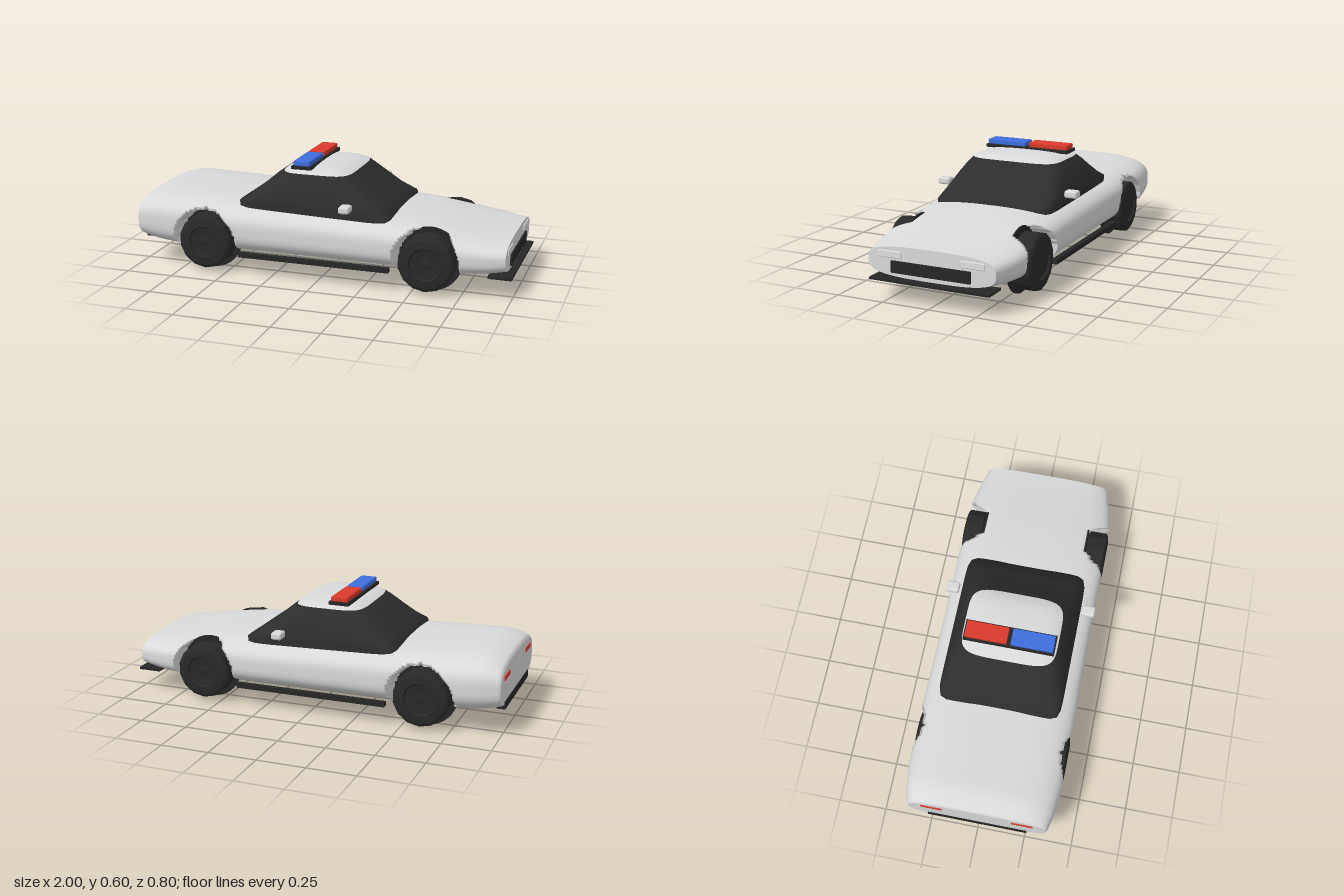
import * as THREE from 'three';
import { RoundedBoxGeometry } from 'three/addons/geometries/RoundedBoxGeometry.js';

const mat = (name, color, side = THREE.FrontSide) =>
  Object.assign(new THREE.MeshStandardMaterial({ color, side }), { name });

// Skin a list of closed rings (each an array of [x, y, z]) into one smooth surface
function loft(rings) {
  const n = rings[0].length, index = [];
  for (let i = 0; i < rings.length - 1; i++) {
    for (let j = 0; j < n; j++) {
      const k = (j + 1) % n;
      const a = i * n + j, b = a + n, c = i * n + k, d = c + n;
      index.push(a, b, c, b, d, c);
    }
  }
  const g = new THREE.BufferGeometry();
  g.setAttribute('position', new THREE.Float32BufferAttribute(rings.flat(2), 3));
  g.setIndex(index);
  g.computeVertexNormals();
  return g;
}

// Unit superellipse sampled evenly by direction; higher power is squarer
function superellipse(count, power) {
  return Array.from({ length: count }, (_, j) => {
    const t = (j / count) * Math.PI * 2, c = Math.cos(t), s = Math.sin(t);
    const r = (Math.abs(c) ** power + Math.abs(s) ** power) ** (-1 / power);
    return [c * r, s * r];
  });
}

const WHEELS_X = [0.58, -0.605], WHEEL_Y = 0.168, ARCH_R = 0.167, ARCH_Z = 0.277;

// Body stations along the length: x, bottom, top, half width
const STATIONS = [
  [-1, 0.135, 0.355, 0.358], [-0.98, 0.125, 0.376, 0.368], [-0.9, 0.107, 0.398, 0.385],
  [-0.78, 0.1, 0.396, 0.398], [-0.6, 0.1, 0.39, 0.4], [-0.4, 0.1, 0.382, 0.4],
  [-0.2, 0.1, 0.376, 0.397], [0, 0.1, 0.37, 0.395], [0.2, 0.1, 0.364, 0.395],
  [0.4, 0.1, 0.357, 0.396], [0.6, 0.1, 0.335, 0.4], [0.75, 0.1, 0.311, 0.391],
  [0.88, 0.11, 0.291, 0.365], [0.97, 0.125, 0.28, 0.34],
];

function bodyRings() {
  const spline = (k) => new THREE.SplineCurve(STATIONS.map((s) => new THREE.Vector2(s[0], s[k])));
  const [bottom, top, width] = [1, 2, 3].map(spline);
  const section = superellipse(96, 3.2), steps = (STATIONS.length - 1) * 18;
  return Array.from({ length: steps + 1 }, (_, i) => {
    const b = bottom.getPoint(i / steps), t = top.getPoint(i / steps).y;
    const w = width.getPoint(i / steps).y, x = b.x;
    return section.map(([u, v]) => {
      const y = (b.y + t) / 2 + (v * (t - b.y)) / 2;
      let z = u * w;
      // press the wheel arches into the sides
      const inArch = WHEELS_X.some((wx) => Math.hypot(x - wx, y - WHEEL_Y) < ARCH_R);
      if (inArch) z = THREE.MathUtils.clamp(z, -ARCH_Z, ARCH_Z);
      return [x, y, z];
    });
  });
}

// Cabin ring: y, rear x, front x, half width, squareness; tilted to follow the body
function cabinRing([y, x0, x1, w, power], tilt) {
  return superellipse(80, power).map(([u, v]) => {
    const x = (x0 + x1) / 2 + (u * (x1 - x0)) / 2;
    return [x, y - tilt * x, v * w];
  });
}

export function createModel() {
  const car = new THREE.Group();
  car.name = 'patrolCar';
  const paint = mat('white paint', 0xd8d9da);
  const glass = mat('dark glass', 0x2d2d2d);
  const trim = mat('black trim', 0x262626);
  const rubber = mat('tyre rubber', 0x292929, THREE.DoubleSide);
  const red = mat('red light', 0xd93a2b);
  const blue = mat('blue light', 0x3e6edc);
  const lamp = mat('headlight', 0xdededf);

  const add = (name, geometry, material, parent = car) => {
    const mesh = new THREE.Mesh(geometry, material);
    mesh.name = name;
    parent.add(mesh);
    return mesh;
  };
  // Box given by its minimum and maximum corners, optionally rounded
  const box = (name, material, lo, hi, radius = 0) => {
    const size = hi.map((h, i) => h - lo[i]);
    const g = radius ? new RoundedBoxGeometry(...size, 3, radius) : new THREE.BoxGeometry(...size);
    const mesh = add(name, g, material);
    mesh.position.set(...hi.map((h, i) => (h + lo[i]) / 2));
    return mesh;
  };

  // Body shell with flat nose and tail
  const rings = bodyRings();
  const nose = rings[rings.length - 1], tail = rings[0];
  const collapse = (ring, y) => ring.map((p) => [p[0], y, 0]);
  add('body', loft(rings), paint);
  add('noseFace', loft([nose, collapse(nose, 0.2)]), paint);
  add('tailFace', loft([collapse(tail, 0.245), tail]), paint);

  // Windows
  add('windows', loft([
    cabinRing([0.31, -0.45, 0.372, 0.322, 14], 0.03),
    cabinRing([0.368, -0.45, 0.372, 0.322, 14], 0.03),
    cabinRing([0.405, -0.405, 0.3, 0.315, 8], 0.015),
    cabinRing([0.46, -0.342, 0.228, 0.296, 6], 0),
    cabinRing([0.51, -0.283, 0.168, 0.27, 5], 0),
    cabinRing([0.538, -0.24, 0.132, 0.247, 5], 0),
  ]), glass);
  // Roof
  add('roof', loft([
    cabinRing([0.538, -0.24, 0.132, 0.247, 5], 0),
    cabinRing([0.553, -0.205, 0.1, 0.22, 4.5], 0),
    cabinRing([0.562, -0.16, 0.06, 0.17, 4], 0),
    cabinRing([0.566, -0.1, 0, 0.09, 3], 0),
    cabinRing([0.567, -0.05, -0.05, 0, 3], 0),
  ]), paint);

  // Roof light bar
  box('lightBarBase', trim, [-0.175, 0.558, -0.237], [-0.067, 0.574, 0.237]);
  box('blueBeacon', blue, [-0.166, 0.574, 0.01], [-0.078, 0.6, 0.23], 0.005);
  box('redBeacon', red, [-0.166, 0.574, -0.23], [-0.078, 0.6, -0.01], 0.005);

  // Front and rear fittings
  box('grille', trim, [0.95, 0.148, -0.211], [0.98, 0.207, 0.211]);
  box('frontSplitter', trim, [0.88, 0.107, -0.32], [1, 0.119, 0.32]);
  box('rearBumper', trim, [-1.004, 0.125, -0.26], [-0.96, 0.165, 0.26]);

  for (const side of [1, -1]) {
    const label = side > 0 ? 'Left' : 'Right';
    const pair = (name, material, lo, hi, radius) => {
      const mesh = box(name + label, material, lo, hi, radius);
      mesh.position.z *= side;
    };
    pair('headlight', lamp, [0.94, 0.219, 0.157], [0.975, 0.254, 0.285], 0.004);
    pair('tailLight', red, [-1.004, 0.283, 0.18], [-0.98, 0.307, 0.29]);
    pair('sideMirror', paint, [0.13, 0.389, 0.33], [0.187, 0.427, 0.4], 0.012);
    pair('sideSkirt', trim, [-0.42, 0.101, 0.355], [0.39, 0.125, 0.385]);
  }

  // Wheels: faceted tyre with a dished hub, in front of a round arch liner
  const tyreProfile = [[0, 0.288], [0.13, 0.288], [0.143, 0.297], [0.143, 0.384], [0.128, 0.393],
    [0.085, 0.399], [0.078, 0.388], [0.03, 0.384], [0, 0.39]].map((p) => new THREE.Vector2(...p));
  const tyre = new THREE.LatheGeometry(tyreProfile, 14).toNonIndexed();
  tyre.rotateX(Math.PI / 2);
  tyre.computeVertexNormals();
  const liner = new THREE.CylinderGeometry(ARCH_R, ARCH_R, 0.007, 40);
  liner.rotateX(Math.PI / 2).translate(0, 0, 0.281);
  WHEELS_X.forEach((x, i) => {
    for (const side of [1, -1]) {
      const wheel = new THREE.Group();
      wheel.name = (i ? 'rear' : 'front') + 'Wheel' + (side > 0 ? 'Left' : 'Right');
      add('tyre', tyre, rubber, wheel);
      add('archLiner', liner, trim, wheel);
      wheel.position.set(x, WHEEL_Y, 0);
      if (side < 0) wheel.rotation.y = Math.PI;
      car.add(wheel);
    }
  });
  return car;
}
